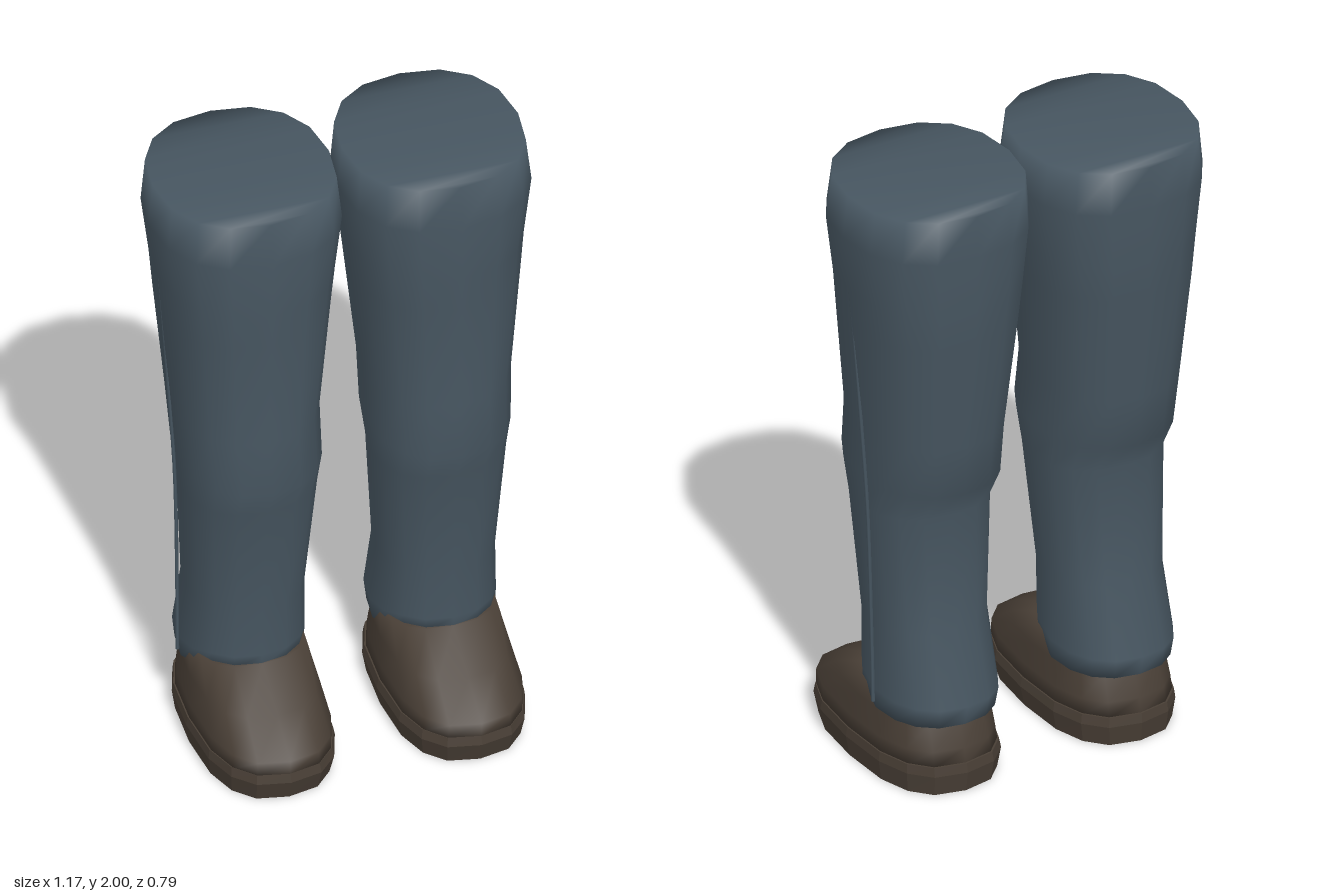
import * as THREE from 'three';

const SIDES = 16;

// Closed loft through horizontal rings, listed from top to bottom.
// Ring: [y, xMin, xMax, zFront, zBack, frontLift]; power < 1 squares off the oval.
function loft(rings, side, power, flat = false) {
  const pos = [], index = [];
  const bulge = v => Math.sign(v) * Math.pow(Math.abs(v), power);
  for (const [y, x0, x1, zf, zb, lift = 0] of rings) {
    for (let j = 0; j < SIDES; j++) {
      const a = (j / SIDES) * Math.PI * 2;
      const s = bulge(Math.sin(a)), c = bulge(Math.cos(a));
      const z = (zf + zb) / 2 + c * (zf - zb) / 2;
      pos.push(side * (x0 + x1) / 2 + s * (x1 - x0) / 2,
        y + lift * THREE.MathUtils.smoothstep(z, -0.1, 0.08), z);
    }
  }
  for (let i = 0; i < rings.length - 1; i++) {
    for (let j = 0; j < SIDES; j++) {
      const a = i * SIDES + j, b = i * SIDES + (j + 1) % SIDES;
      index.push(a, a + SIDES, b, b, a + SIDES, b + SIDES);
    }
  }
  // Caps share the rim vertices, so the rims shade softly
  const last = (rings.length - 1) * SIDES;
  for (let i = 0; i < SIDES / 2; i++) {
    const p = i, q = i + 1, r = (SIDES - i) % SIDES, t = SIDES - i - 1;
    if (p !== r) index.push(p, q, r, last + p, last + r, last + q);
    if (q !== t) index.push(q, t, r, last + q, last + r, last + t);
  }
  let geo = new THREE.BufferGeometry();
  geo.setAttribute('position', new THREE.Float32BufferAttribute(pos, 3));
  geo.setIndex(index);
  if (flat) geo = geo.toNonIndexed();
  geo.computeVertexNormals();
  return geo;
}

const trouserRings = [
  [2.00, 0.02, 0.57, 0.20, -0.39],
  [1.86, 0.006, 0.585, 0.217, -0.395],
  [1.67, 0.03, 0.56, 0.212, -0.388],
  [1.55, 0.043, 0.55, 0.207, -0.378],
  [1.18, 0.08, 0.517, 0.19, -0.335],
  [1.01, 0.082, 0.507, 0.22, -0.315],
  [0.90, 0.09, 0.50, 0.16, -0.24],
  [0.51, 0.12, 0.475, 0.12, -0.265],
  [0.29, 0.112, 0.485, 0.118, -0.335, 0.05],
  [0.225, 0.118, 0.48, 0.115, -0.32, 0.07],
];
const upperRings = [
  [0.31, 0.125, 0.47, 0.12, -0.23],
  [0.22, 0.112, 0.483, 0.265, -0.28],
  [0.14, 0.102, 0.495, 0.39, -0.315],
  [0.09, 0.098, 0.498, 0.388, -0.325],
];
const soleRings = [
  [0.095, 0.094, 0.502, 0.388, -0.33],
  [0.065, 0.088, 0.506, 0.395, -0.335],
  [0, 0.1, 0.496, 0.375, -0.325],
];
const seamPoints = [
  [0.553, 1.665, -0.08], [0.519, 1.18, -0.088],
  [0.502, 0.90, -0.093], [0.493, 0.51, -0.1], [0.49, 0.25, -0.105],
];

export function createModel() {
  const group = new THREE.Group();
  const cloth = new THREE.MeshStandardMaterial({ color: 0x475661 });
  cloth.name = 'slate blue cloth';
  const leather = new THREE.MeshStandardMaterial({ color: 0x483e35 });
  leather.name = 'dark brown leather';

  for (const side of [1, -1]) {
    const leg = new THREE.Group();
    leg.name = side > 0 ? 'leftLeg' : 'rightLeg';
    const add = (name, geo, mat) => {
      const mesh = new THREE.Mesh(geo, mat);
      mesh.name = name;
      leg.add(mesh);
    };
    add('trouserLeg', loft(trouserRings, side, 0.86), cloth);
    add('shoeUpper', loft(upperRings, side, 0.76), leather);
    add('shoeSole', loft(soleRings, side, 0.76, true), leather);

    // Raised piping down the outer side
    const path = new THREE.CatmullRomCurve3(
      seamPoints.map(([x, y, z]) => new THREE.Vector3(side * x, y, z)));
    add('sideSeam', new THREE.TubeGeometry(path, 16, 0.006, 5), cloth);
    group.add(leg);
  }
  return group;
}
